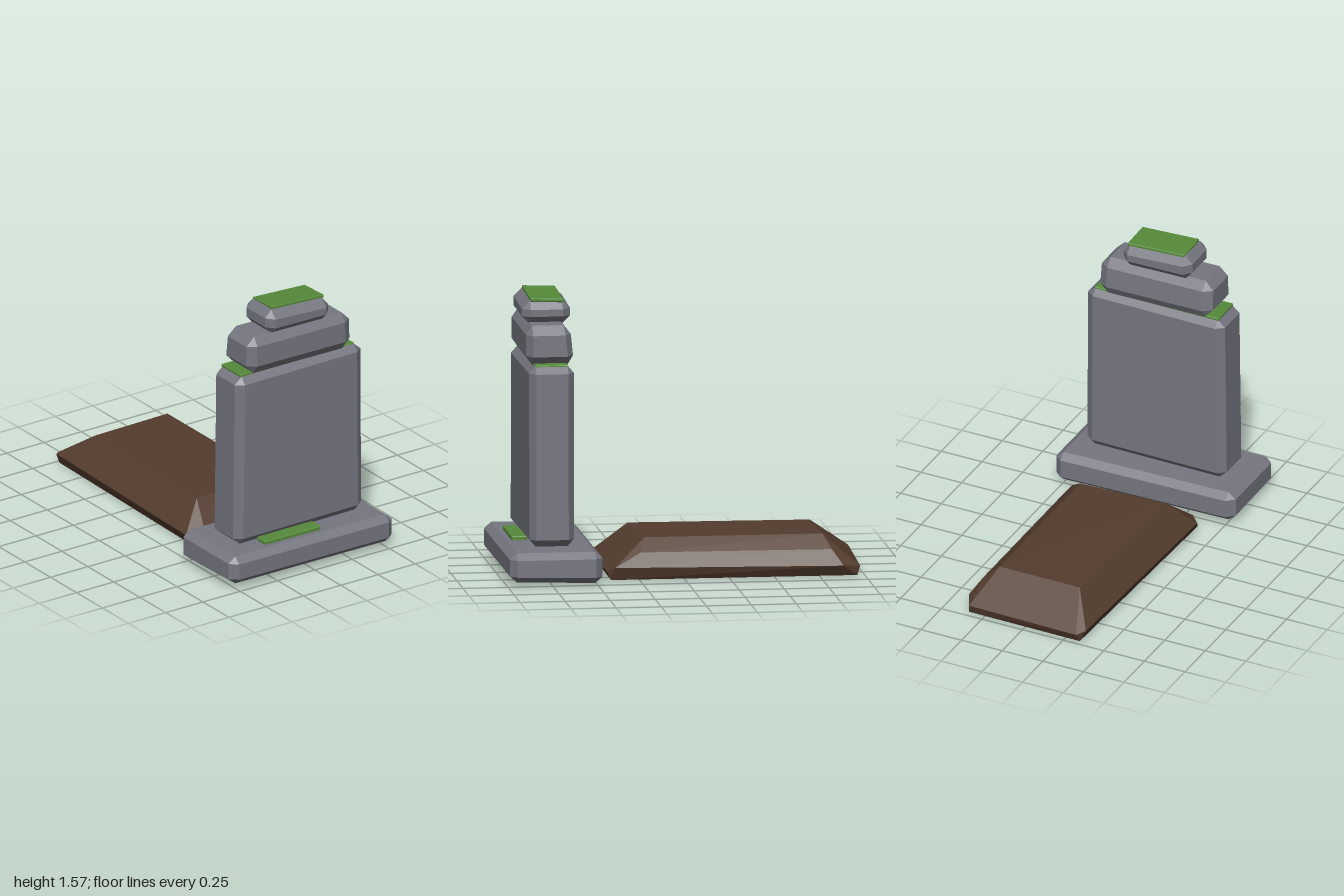
import * as THREE from 'three';
import { ConvexGeometry } from 'three/addons/geometries/ConvexGeometry.js';

const material = (color) => new THREE.MeshStandardMaterial({ color, flatShading: true });

// Solid wrapped around a list of [x, y, z] points
function hull(name, points, mat) {
  const mesh = new THREE.Mesh(new ConvexGeometry(points.map((p) => new THREE.Vector3(...p))), mat);
  mesh.name = name;
  return mesh;
}

// Box with chamfered edges: ranges per axis, chamfer per axis, optional rule to skew it
function hewnBlock(name, [x0, x1], [y0, y1], [z0, z1], [cx, cy, cz], mat, skew = (p) => p) {
  const points = [];
  for (const [x, dx] of [[x0, 1], [x1, -1]])
    for (const [y, dy] of [[y0, 1], [y1, -1]])
      for (const [z, dz] of [[z0, 1], [z1, -1]])
        points.push(
          skew([x, y + dy * cy, z + dz * cz]),
          skew([x + dx * cx, y, z + dz * cz]),
          skew([x + dx * cx, y + dy * cy, z])
        );
  return hull(name, points, mat);
}

export function createModel() {
  const model = new THREE.Group();
  model.name = 'gravestone';
  const stone = material(0x767681);
  const moss = material(0x568a3a);
  const earth = material(0x533c2e);

  // Stacked stones, each slightly out of true
  model.add(
    hewnBlock('base', [-0.55, 0.55], [0.025, 0.193], [0.48, 0.995], [0.045, 0.035, 0.04], stone,
      ([x, y, z]) => [x, y - 0.008 * x + (y < 0.1 ? 0.025 * (z - 0.74) : 0), z - 0.008 * x]),
    hewnBlock('slab', [-0.425, 0.425], [0.2, 1.205], [0.618, 0.866], [0.045, 0.04, 0.035], stone,
      ([x, y, z]) => [x + 0.012 * (y - 0.7) * (x < 0 ? 1 : -0.5), y + 0.01 * x, z]),
    hewnBlock('shoulderStone', [-0.347, 0.343], [1.205, 1.423], [0.61, 0.873], [0.05, 0.05, 0.035], stone,
      ([x, y, z]) => [x * (1 - 0.08 * (y - 1.3)), y - 0.006 * x, z + (z < 0.7 ? 0.1 * (y - 1.24) : 0)]),
    hewnBlock('capStone', [-0.217, 0.203], [1.412, 1.548], [0.61, 0.878], [0.04, 0.045, 0.045], stone,
      ([x, y, z]) => [x, y - (y > 1.48 ? 0.045 : 0.01) * x, z])
  );

  // Flat moss patches
  model.add(
    hewnBlock('capMoss', [-0.172, 0.178], [1.54, 1.56], [0.648, 0.832], [0.004, 0.004, 0.004], moss,
      ([x, y, z]) => [x, y - 0.045 * x + 0.04 * (z - 0.74), z]),
    hewnBlock('shoulderMoss', [-0.382, 0.382], [1.195, 1.213], [0.648, 0.832], [0.004, 0.004, 0.004], moss),
    hewnBlock('baseMoss', [-0.28, 0.095], [0.185, 0.216], [0.84, 0.925], [0.006, 0.006, 0.006], moss)
  );

  // Earth mound: flat top, sloping shoulders, narrow rim and flat underside
  model.add(hull('graveMound', [
    [-0.24, 0.215, -0.775], [0.25, 0.22, -0.78], [0.25, 0.22, 0.21], [-0.26, 0.218, 0.235],
    [0.335, 0.145, -0.82], [0.335, 0.15, 0.24],
    [-0.37, 0.07, -0.96], [-0.33, 0.055, -1], [0.34, 0.05, -0.977], [0.388, 0.06, -0.88],
    [0.388, 0.075, 0.39], [0.345, 0.05, 0.43], [-0.33, 0.05, 0.438], [-0.405, 0.07, 0.34],
    [-0.34, 0.005, -0.975], [0.35, 0, -0.96], [0.365, 0.005, 0.41], [-0.375, 0.008, 0.405]
  ], earth));

  return model;
}
